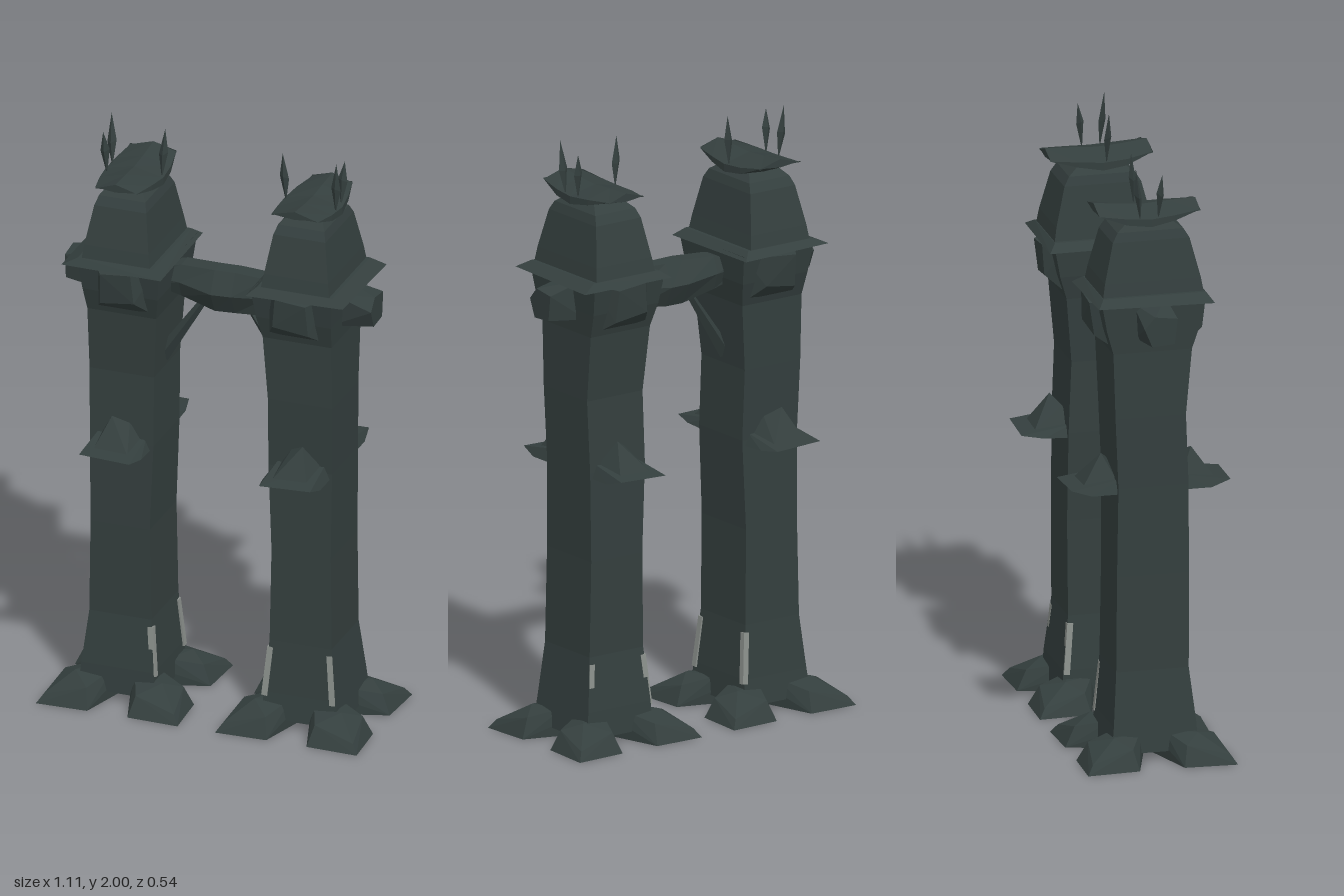
import * as THREE from 'three';
import { ConvexGeometry } from 'three/addons/geometries/ConvexGeometry.js';

const V = (x, y, z) => new THREE.Vector3(x, y, z);

// Capped skin through equal-sized rings of points; faces are turned outward.
function loft(rings) {
  const n = rings[0].length, tris = [];
  for (let i = 0; i < rings.length - 1; i++) {
    for (let j = 0; j < n; j++) {
      const k = (j + 1) % n, a = rings[i], b = rings[i + 1];
      tris.push([a[j], a[k], b[k]], [a[j], b[k], b[j]]);
    }
  }
  const first = rings[0], last = rings[rings.length - 1];
  for (let j = 1; j < n - 1; j++) {
    tris.push([first[0], first[j + 1], first[j]], [last[0], last[j], last[j + 1]]);
  }
  const volume = tris.reduce((s, [a, b, c]) => s + a.dot(b.clone().cross(c)), 0);
  if (volume < 0) tris.forEach((t) => t.reverse());
  const geo = new THREE.BufferGeometry().setFromPoints(tris.flat());
  geo.computeVertexNormals();
  return geo;
}

// Horizontal rectangle ring
const rect = ([y, x0, x1, z0, z1]) =>
  [V(x0, y, z0), V(x1, y, z0), V(x1, y, z1), V(x0, y, z1)];

const hull = (points) => new ConvexGeometry(points.map((p) => V(...p)));

export function createModel() {
  const model = new THREE.Group();
  model.name = 'gateway';
  const wood = new THREE.MeshStandardMaterial({ color: 0x343f3e, flatShading: true });
  wood.name = 'dark wood';
  const chip = new THREE.MeshStandardMaterial({ color: 0x8b908c, flatShading: true });
  chip.name = 'pale chip';

  const add = (parent, name, geo, mat = wood) => {
    const mesh = new THREE.Mesh(geo, mat);
    mesh.name = name;
    parent.add(mesh);
    return mesh;
  };

  // One tower, its outer side facing +x
  function tower(name) {
    const g = new THREE.Group();
    g.name = name;

    // Four splayed root stones at the corners
    for (const sx of [-1, 1]) for (const sz of [-1, 1]) {
      add(g, 'rootStone', hull([
        [0, 0, 0], [0.245, 0, 0.25], [0.235, 0, 0.075], [0.07, 0, 0.245],
        [0.225, 0.03, 0.23], [0.205, 0.065, 0.09], [0.085, 0.065, 0.21],
        [0.15, 0.09, 0.14], [0.1, 0.09, 0.04], [0.04, 0.09, 0.1], [0, 0.085, 0],
      ].map(([x, y, z]) => [x * sx, y, z * sz])));
    }

    // Gnarled square trunk
    add(g, 'trunk', loft([
      [0.03, -0.125, 0.14, -0.145, 0.145],
      [0.12, -0.12, 0.13, -0.14, 0.135],
      [0.3, -0.105, 0.11, -0.12, 0.122],
      [0.62, -0.1, 0.105, -0.122, 0.118],
      [0.92, -0.112, 0.108, -0.12, 0.114],
      [1.16, -0.11, 0.113, -0.11, 0.125],
      [1.38, -0.125, 0.113, -0.13, 0.132],
      [1.46, -0.14, 0.12, -0.155, 0.155],
      [1.56, -0.15, 0.13, -0.175, 0.175],
    ].map(rect)));

    // Knots around the top of the trunk
    add(g, 'outerKnot', hull([
      [0.08, 1.42, -0.06], [0.08, 1.55, -0.05], [0.08, 1.54, 0.06], [0.08, 1.42, 0.05],
      [0.22, 1.435, -0.045], [0.22, 1.52, -0.055], [0.22, 1.53, 0.02],
      [0.22, 1.49, 0.055], [0.22, 1.43, 0.03],
    ]));
    for (const s of [-1, 1]) {
      add(g, 'faceKnot', hull([
        [-0.11, 1.39, s * 0.12], [0.08, 1.39, s * 0.12], [-0.12, 1.55, s * 0.12],
        [0.09, 1.55, s * 0.12], [-0.07, 1.45, s * 0.19], [0.05, 1.43, s * 0.18],
        [0.045, 1.54, s * 0.195], [-0.06, 1.55, s * 0.195],
      ]));

      // Bracket fungus halfway up
      add(g, 'shelf', hull([
        [-0.1, 0.9, s * 0.09], [0.1, 0.9, s * 0.09], [-0.1, 0.905, s * 0.2],
        [0.1, 0.9, s * 0.2], [-0.085, 0.915, s * 0.27], [0.09, 0.92, s * 0.265],
        [-0.08, 0.94, s * 0.1], [0.08, 0.945, s * 0.1],
      ]));
      add(g, 'shelfPeak', hull([
        [-0.08, 0.92, s * 0.1], [0.08, 0.92, s * 0.1], [-0.06, 0.92, s * 0.22],
        [0.06, 0.92, s * 0.22], [0.02, 1.02, s * 0.15], [-0.03, 0.99, s * 0.12],
      ]));
    }

    // Thin flared collar with slightly drooping corners
    add(g, 'collar', hull([
      [-0.165, 1.55, -0.195], [0.18, 1.55, -0.19], [0.175, 1.555, 0.195], [-0.16, 1.55, 0.2],
      [-0.13, 1.575, -0.17], [0.13, 1.575, -0.17], [0.13, 1.575, 0.17], [-0.13, 1.575, 0.17],
    ]));

    // Tapered head
    add(g, 'head', loft([
      [1.56, -0.12, 0.12, -0.17, 0.17],
      [1.62, -0.11, 0.112, -0.16, 0.16],
      [1.75, -0.09, 0.09, -0.128, 0.128],
      [1.78, -0.08, 0.08, -0.11, 0.11],
      [1.815, -0.045, 0.05, -0.06, 0.06],
    ].map(rect)));

    // Upswept cap: cross-sections [z, half width, bottom, top] run front to back
    add(g, 'cap', loft([
      [-0.17, 0.07, 1.828, 1.838], [-0.08, 0.09, 1.803, 1.835],
      [0, 0.1, 1.79, 1.83], [0.08, 0.095, 1.8, 1.835], [0.17, 0.08, 1.835, 1.845],
    ].map(([z, w, b, t]) => [
      V(-w, b + 0.008, z), V(0, b, z), V(w, b + 0.008, z),
      V(w, t - 0.006, z), V(0, t + 0.018, z), V(-w, t - 0.006, z),
    ])));

    // Leaf-like horns on the cap
    for (const [x, z, top] of [[-0.095, 0.015, 1.99], [0.095, 0.045, 2], [0.09, -0.03, 1.97]]) {
      add(g, 'horn', hull([
        [x * 0.95, 1.815, z * 0.8], [x - 0.016, 1.91, z], [x + 0.016, 1.9, z],
        [x, 1.9, z - 0.012], [x, 1.91, z + 0.012], [x * 1.05, top, z * 1.2],
      ]));
    }
    return g;
  }

  const leftTower = tower('leftTower');
  leftTower.position.x = 0.31;
  const rightTower = tower('rightTower');
  rightTower.position.x = -0.31;
  rightTower.rotation.y = Math.PI;
  model.add(leftTower, rightTower);

  // Pale chipped edges near the feet
  const chips = (parent, sides) => {
    for (const sx of sides) for (const sz of [-1, 1]) {
      const strip = add(parent, 'chippedEdge', new THREE.BoxGeometry(0.02, 0.17, 0.02), chip);
      strip.position.set(sx * 0.11, 0.19, sz * 0.122);
      strip.rotation.set(-sz * 0.09, 0, sx * 0.09);
    }
  };
  chips(leftTower, [-1, 1]);
  chips(rightTower, [-1]);

  // Crossbeam: sections [x, bottom, top, back, front]
  add(model, 'crossbeam', loft([
    [-0.24, 1.45, 1.51, -0.04, 0.03], [-0.14, 1.425, 1.535, -0.06, 0.042],
    [-0.02, 1.395, 1.54, -0.066, 0.07], [0.05, 1.397, 1.54, -0.068, 0.065],
    [0.16, 1.41, 1.54, -0.035, 0.055], [0.24, 1.42, 1.54, -0.03, 0.05],
  ].map(([x, b, t, z0, z1]) => {
    const m = (z0 + z1) / 2, h = (b + t) / 2;
    return [V(x, b, m - 0.03), V(x, b, m + 0.03), V(x, h, z1),
      V(x, t, m + 0.03), V(x, t, m - 0.03), V(x, h, z0)];
  })));

  // Slanted braces under the beam
  for (const [x0, y0, x1, y1] of [[-0.215, 1.19, -0.07, 1.41], [0.205, 1.25, 0.09, 1.41]]) {
    const a = V(x0, y0, 0), b = V(x1, y1, 0), d = b.clone().sub(a);
    const brace = add(model, 'brace', new THREE.CylinderGeometry(0.012, 0.025, d.length(), 4));
    brace.position.copy(a).add(b).multiplyScalar(0.5);
    brace.quaternion.setFromUnitVectors(V(0, 1, 0), d.normalize());
  }
  return model;
}
